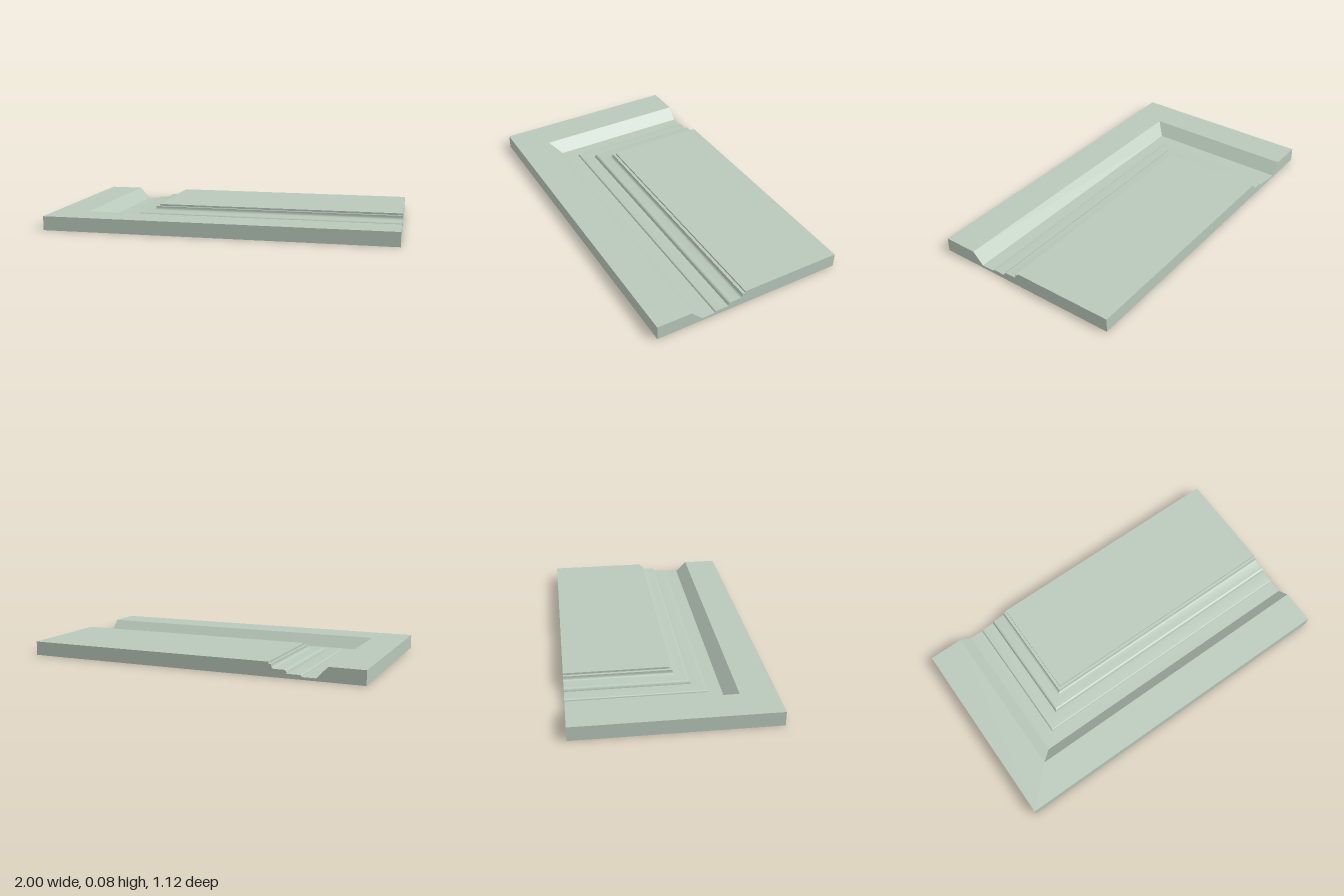
import * as THREE from 'three';
import { toCreasedNormals } from 'three/addons/utils/BufferGeometryUtils.js';

const X = 1, Z = 0.559, H = 0.081;

// Quarter-round points between two profile corners; convex rises first, concave runs first
function quarter(x0, y0, x1, y1, convex, n = 6) {
  const pts = [];
  for (let k = 0; k <= n; k++) {
    const a = (k / n) * Math.PI / 2, s = Math.sin(a), c = 1 - Math.cos(a);
    pts.push([x0 + (x1 - x0) * (convex ? c : s), y0 + (y1 - y0) * (convex ? s : c)]);
  }
  return pts;
}

// Cross-section: [distance inward from the outer edge, height]
const profile = [
  [0, 0], [0, H], [0.2, H], [0.264, 0.015],
  ...quarter(0.343, 0.015, 0.352, 0.025, true),
  ...quarter(0.424, 0.025, 0.44, 0.045, true),
  ...quarter(0.494, 0.045, 0.51, 0.061, false),
  [0.51, 0.07], [0.527, 0.07], [0.527, H],
];

export function createModel() {
  const group = new THREE.Group();
  const material = new THREE.MeshStandardMaterial({ color: 0xb8c8ba });
  const add = (name, geometry) => {
    const mesh = new THREE.Mesh(geometry, material);
    mesh.name = name;
    group.add(mesh);
    return mesh;
  };

  // Frame and moulding: profile swept along the front and left sides with a mitred corner
  const section = (i, [t, y]) => [
    [X, y, Z - t], [-X + t, y, Z - t], [-X + t, y, -Z],
  ][i];
  const positions = [];
  for (let i = 0; i < 2; i++) {
    for (let j = 0; j < profile.length - 1; j++) {
      const a = section(i, profile[j]), b = section(i, profile[j + 1]);
      const c = section(i + 1, profile[j + 1]), d = section(i + 1, profile[j]);
      positions.push(...a, ...b, ...c, ...a, ...c, ...d);
    }
  }
  const sweep = new THREE.BufferGeometry();
  sweep.setAttribute('position', new THREE.Float32BufferAttribute(positions, 3));
  add('mouldedFrame', toCreasedNormals(sweep, 0.4));

  // Raised flat panel inside the moulding
  const inset = profile[profile.length - 1][0];
  const w = 2 * X - inset, d = 2 * Z - inset;
  add('raisedPanel', new THREE.PlaneGeometry(w, d).rotateX(-Math.PI / 2))
    .position.set(X - w / 2, H, -Z + d / 2);

  // Underside
  add('underside', new THREE.PlaneGeometry(2 * X, 2 * Z).rotateX(Math.PI / 2));

  // Cut ends showing the cross-section
  const cutEnd = (length, sign) => new THREE.ShapeGeometry(new THREE.Shape(
    [...profile, [length, H], [length, 0]].map(([t, y]) => new THREE.Vector2(sign * t, y))));
  add('rightCutEnd', cutEnd(2 * Z, 1).rotateY(Math.PI / 2)).position.set(X, 0, Z);
  add('backCutEnd', cutEnd(2 * X, -1).rotateY(Math.PI)).position.set(-X, 0, -Z);

  return group;
}
